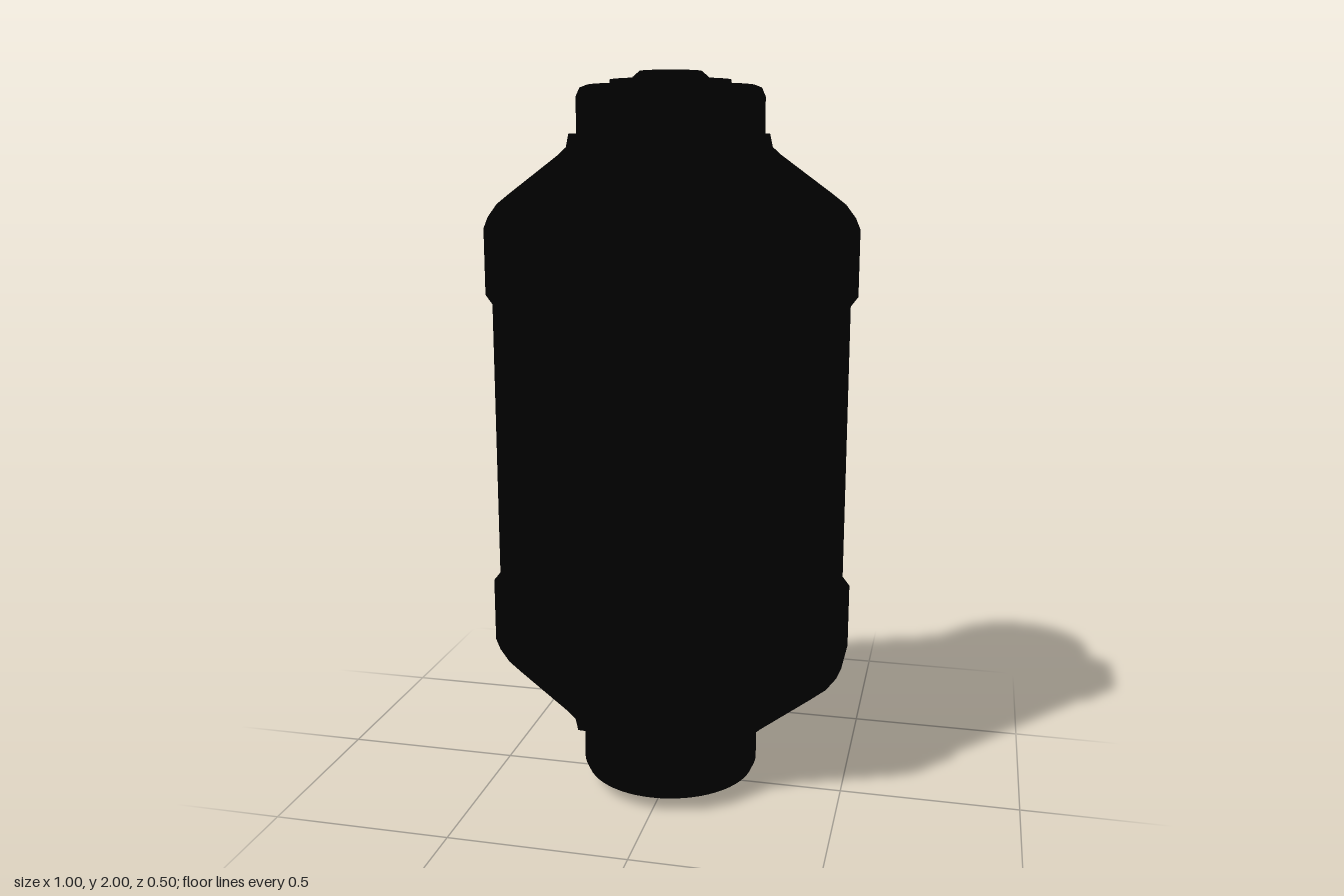
import * as THREE from 'three';
import { toCreasedNormals } from 'three/addons/utils/BufferGeometryUtils.js';

const black = new THREE.MeshStandardMaterial({ color: 0x000000 });
black.name = 'black';

const vectors = (list) => list.map(([x, y]) => new THREE.Vector2(x, y));

function part(name, geometry) {
  const mesh = new THREE.Mesh(geometry, black);
  mesh.name = name;
  return mesh;
}

// Round core with stepped end discs
function coreGeometry() {
  const lower = [
    [0, 0], [0.082, 0], [0.1, 0.015], [0.1, 0.022], [0.16, 0.022], [0.16, 0.036],
    [0.222, 0.036], [0.24, 0.043], [0.25, 0.065],
  ];
  const upper = lower.map(([r, y]) => [r, 2 - y]).reverse();
  return toCreasedNormals(new THREE.LatheGeometry(vectors([...lower, ...upper]), 64), 0.6);
}

// Side wing: front outline with rounded edges, tapering towards its tip
function wingGeometry() {
  const upper = [
    [0.48, 1.385], [0.5, 1.41], [0.5, 1.59], [0.487, 1.62], [0.46, 1.655], [0.42, 1.685],
    [0.28, 1.785], [0.257, 1.805], [0.249, 1.84], [0.15, 1.84],
  ];
  const lower = upper.map(([x, y]) => [x, 2 - y]).reverse();
  const bevel = 0.018;
  const geometry = new THREE.ExtrudeGeometry(new THREE.Shape(vectors([...lower, ...upper])), {
    depth: 2 - 2 * bevel, bevelEnabled: true, bevelThickness: bevel * 5,
    bevelSize: bevel, bevelOffset: -bevel, bevelSegments: 3,
  });
  geometry.computeBoundingBox();
  const { min, max } = geometry.boundingBox;
  const middle = (min.z + max.z) / 2, half = (max.z - min.z) / 2;
  const position = geometry.attributes.position;
  for (let i = 0; i < position.count; i++) {
    const thickness = 0.117 - 0.09 * (position.getX(i) - 0.28);
    position.setZ(i, (position.getZ(i) - middle) / half * thickness);
  }
  geometry.computeVertexNormals();
  return toCreasedNormals(geometry, 0.5);
}

// Collar around the core, with flat pads at the front and back
function collarGeometry() {
  const quarter = [
    [0.3, 0.112], [0.288, 0.122], [0.25, 0.16], [0.2, 0.192], [0.15, 0.214], [0.1, 0.232], [0.08, 0.25],
  ];
  const half = [...quarter, ...quarter.map(([x, z]) => [-x, z]).reverse()];
  const outline = [...half, ...half.map(([x, z]) => [-x, -z])];
  const geometry = new THREE.ExtrudeGeometry(new THREE.Shape(vectors(outline)), {
    depth: 0.07, bevelEnabled: true, bevelThickness: 0.02, bevelSize: 0.02,
    bevelOffset: -0.02, bevelSegments: 2,
  });
  geometry.rotateX(-Math.PI / 2).translate(0, -0.035, 0);
  return toCreasedNormals(geometry, 0.5);
}

export function createModel() {
  const model = new THREE.Group();
  model.name = 'wingedCylinder';
  model.add(part('core', coreGeometry()));

  const wing = wingGeometry();
  const leftWing = part('leftWing', wing);
  const rightWing = part('rightWing', wing);
  rightWing.rotation.y = Math.PI;
  model.add(leftWing, rightWing);

  const collar = collarGeometry();
  for (const [name, y] of [['lowerCollar', 0.5], ['upperCollar', 1.5]]) {
    const mesh = part(name, collar);
    mesh.position.y = y;
    model.add(mesh);
  }
  return model;
}
